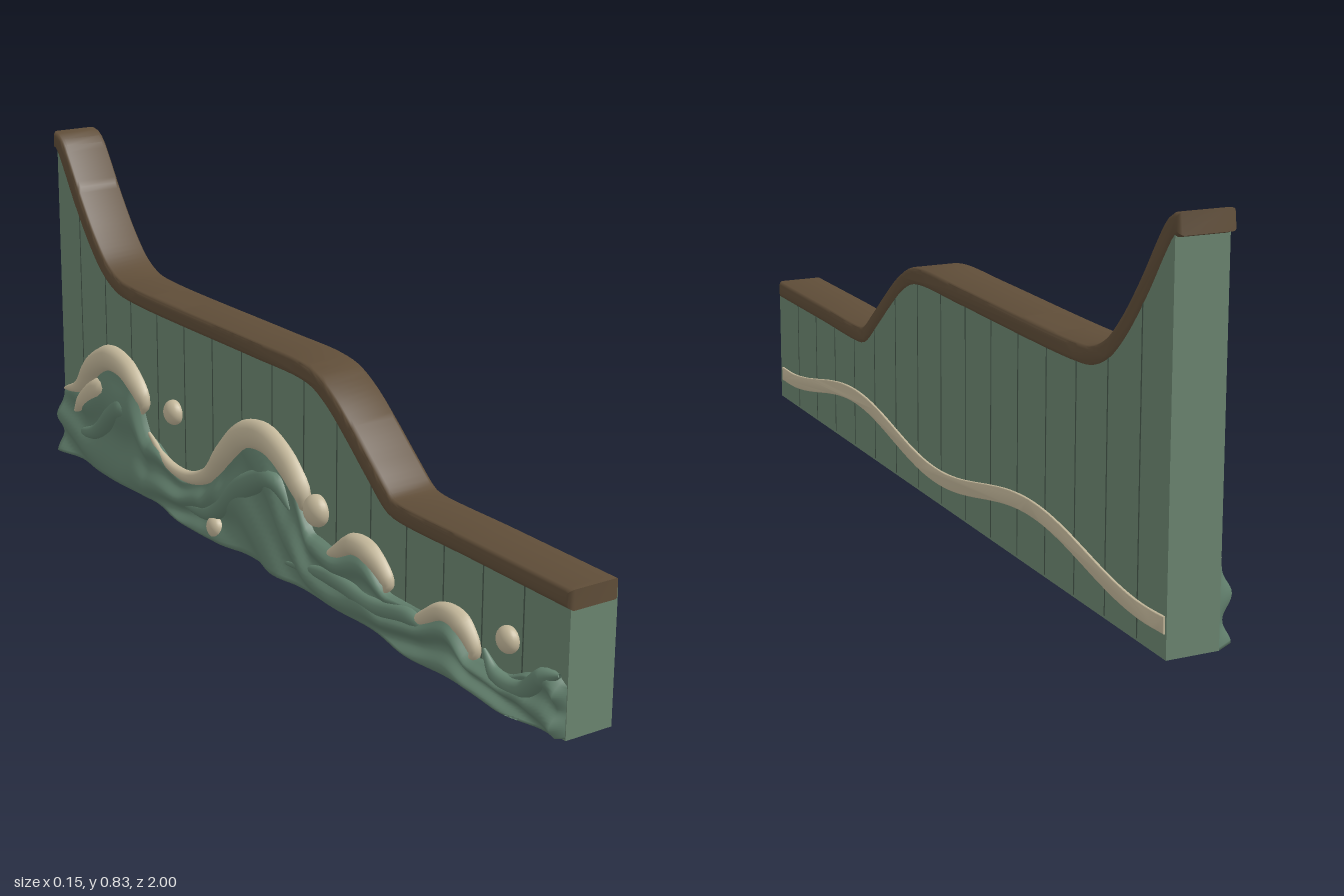
import * as THREE from 'three';
import { toCreasedNormals } from 'three/addons/utils/BufferGeometryUtils.js';

const mat = (name, color, side = THREE.FrontSide) => {
  const m = new THREE.MeshStandardMaterial({ color, side });
  m.name = name;
  return m;
};

// Outlines are drawn in (u, y) with u = -z, then extruded across x.
const curve = (pts) => new THREE.CatmullRomCurve3(pts.map(([u, y]) => new THREE.Vector3(u, y, 0)), false, 'centripetal');

function extrudeAcross(pts, x0, x1, bevel = 0) {
  const g = new THREE.ExtrudeGeometry(new THREE.Shape(pts), {
    depth: x1 - x0 - 2 * bevel, bevelEnabled: bevel > 0, bevelSize: bevel,
    bevelThickness: bevel, bevelOffset: -bevel, bevelSegments: 4,
  });
  g.translate(0, 0, x0 + bevel);
  g.rotateY(Math.PI / 2);
  return toCreasedNormals(g, 0.6);
}

// Strip of constant thickness following a curve
function band(c, half, n) {
  const lower = [], upper = [];
  for (let i = 0; i <= n; i++) {
    const p = c.getPointAt(i / n), t = c.getTangentAt(i / n);
    lower.push(new THREE.Vector2(p.x + t.y * half, p.y - t.x * half));
    upper.unshift(new THREE.Vector2(p.x - t.y * half, p.y + t.x * half));
  }
  return lower.concat(upper);
}

// Linear lookup in a list of [key, value]
function lookup(list, k) {
  for (let i = 1; i < list.length; i++) {
    const [a, va] = list[i - 1], [b, vb] = list[i];
    if (k <= b) return va + (vb - va) * THREE.MathUtils.smoothstep(k, a, b);
  }
  return list[list.length - 1][1];
}

// Tapered, flattened roll through points [z, y, radius] on the -x face
function foamRoll(pts, x) {
  const c = new THREE.CatmullRomCurve3(pts.map(([z, y]) => new THREE.Vector3(x, y, z)));
  const n = 48, sides = 12;
  const g = new THREE.TubeGeometry(c, n, 1, sides);
  const pos = g.attributes.position;
  for (let i = 0; i <= n; i++) {
    const p = c.getPointAt(i / n);
    const k = c.getUtoTmapping(i / n) * (pts.length - 1);
    const a = Math.min(Math.floor(k), pts.length - 2);
    const r = THREE.MathUtils.lerp(pts[a][2], pts[a + 1][2], k - a);
    for (let j = 0; j <= sides; j++) {
      const q = i * (sides + 1) + j;
      pos.setXYZ(q, p.x + (pos.getX(q) - p.x) * Math.min(r, 0.026),
        p.y + (pos.getY(q) - p.y) * r, p.z + (pos.getZ(q) - p.z) * r);
    }
  }
  g.computeVertexNormals();
  return g;
}

export function createModel() {
  const group = new THREE.Group();
  const green = mat('sage green', 0x6b8570);
  const seaGreen = mat('sea green', 0x64826f, THREE.DoubleSide);
  const brown = mat('wood brown', 0x5f4d38);
  const cream = mat('cream', 0xc4b89b);
  const dark = mat('groove green', 0x46584b);
  const add = (name, geometry, material) => {
    const m = new THREE.Mesh(geometry, material);
    m.name = name;
    group.add(m);
    return m;
  };

  // Stepped top line, from the low front to the tall back
  const railLine = curve([[-1, 0.283], [-0.7, 0.283], [-0.46, 0.283], [-0.43, 0.29], [-0.36, 0.343], [-0.29, 0.4],
    [-0.22, 0.452], [-0.16, 0.482], [-0.1, 0.492], [0.1, 0.492], [0.62, 0.492], [0.69, 0.5], [0.75, 0.528],
    [0.81, 0.583], [0.88, 0.67], [0.94, 0.757], [0.968, 0.793], [0.985, 0.804], [1, 0.806]]);
  const line = railLine.getSpacedPoints(120);

  // Wall panel
  const outline = [new THREE.Vector2(-0.997, 0), new THREE.Vector2(0.985, 0)];
  for (let i = 120; i >= 0; i--) {
    const p = line[i];
    if (p.x < 0.985 && p.x > -0.997) outline.push(new THREE.Vector2(p.x, p.y));
  }
  outline.splice(2, 0, new THREE.Vector2(0.985, 0.8));
  outline.push(new THREE.Vector2(-0.997, 0.283));
  add('wallPanel', extrudeAcross(outline, -0.04, 0.072), green);

  // Top rail
  add('topRail', extrudeAcross(band(railLine, 0.021, 140), -0.046, 0.075, 0.012), brown);

  // Plank grooves on both faces
  for (let i = 0; i < 15; i++) {
    const z = 0.865 - i * 0.1245;
    const top = line.reduce((b, p) => (Math.abs(p.x + z) < Math.abs(b.x + z) ? p : b)).y - 0.01;
    for (const x of [-0.04, 0.072]) {
      add('plankGroove', new THREE.BoxGeometry(0.001, top - 0.01, 0.004), dark).position.set(x, top / 2, z);
    }
  }

  // Wavy trim on the +x face
  const trim = [];
  for (let i = 0; i <= 24; i++) {
    const u = -0.98 + i * 1.96 / 24;
    trim.push([u, 0.095 - 0.032 * Math.cos((u + 0.02) * Math.PI * 2 / 0.93)]);
  }
  add('waveTrim', extrudeAcross(band(curve(trim), 0.017, 90), 0.068, 0.077, 0.003), cream);

  // Carved sea on the -x face: a rippled sheet below the wave line
  const seaTop = [[-0.99, 0.17], [-0.86, 0.2], [-0.72, 0.31], [-0.62, 0.29], [-0.53, 0.16], [-0.38, 0.1],
    [-0.28, 0.13], [-0.2, 0.2], [-0.1, 0.3], [0, 0.31], [0.09, 0.23], [0.17, 0.14], [0.25, 0.13], [0.35, 0.16],
    [0.45, 0.1], [0.55, 0.1], [0.65, 0.13], [0.73, 0.07], [0.82, 0.07], [0.9, 0.1], [0.96, 0.13], [1, 0.11]];
  const nz = 180, ny = 28;
  const sea = new THREE.PlaneGeometry(1, 1, nz, ny);
  const pos = sea.attributes.position;
  for (let i = 0; i < pos.count; i++) {
    const z = -0.985 + (pos.getX(i) + 0.5) * 1.98;
    const v = pos.getY(i) + 0.5;
    const col = i % (nz + 1), edge = col === 0 || col === nz || v < 0.001;
    const ripple = Math.sin(v * 11 + 4 * Math.sin(z * 6.5) + z * 5);
    const d = edge ? 0 : (0.022 + 0.01 * ripple) * Math.sqrt(Math.max(0, 1 - v ** 6));
    pos.setXYZ(i, -0.04 - d, v * lookup(seaTop, z), z);
  }
  sea.computeVertexNormals();
  add('carvedSea', sea, seaGreen);

  // Foam crests, each hooking over toward the front
  const crests = [
    [[-0.97, 0.17, 0.004], [-0.88, 0.2, 0.02], [-0.81, 0.27, 0.028], [-0.72, 0.312, 0.033], [-0.63, 0.3, 0.03],
      [-0.56, 0.245, 0.02], [-0.57, 0.21, 0.004]],
    [[-0.92, 0.12, 0.004], [-0.86, 0.165, 0.025], [-0.79, 0.21, 0.032], [-0.73, 0.22, 0.02], [-0.71, 0.19, 0.004]],
    [[-0.54, 0.17, 0.004], [-0.45, 0.12, 0.012], [-0.35, 0.115, 0.015], [-0.26, 0.15, 0.02], [-0.19, 0.22, 0.028],
      [-0.11, 0.285, 0.035], [-0.02, 0.305, 0.035], [0.07, 0.27, 0.032], [0.13, 0.215, 0.022], [0.12, 0.18, 0.004]],
    [[0.2, 0.1, 0.004], [0.26, 0.135, 0.016], [0.32, 0.17, 0.024], [0.38, 0.168, 0.026], [0.44, 0.125, 0.016],
      [0.43, 0.1, 0.004]],
    [[0.5, 0.05, 0.004], [0.56, 0.09, 0.016], [0.63, 0.13, 0.02], [0.69, 0.125, 0.024], [0.73, 0.08, 0.014],
      [0.71, 0.06, 0.004]],
  ];
  for (const pts of crests) add('foamCrest', foamRoll(pts, -0.047), cream);

  // Green swells rolling under the foam
  const swells = [
    [[-0.97, 0.07, 0.004], [-0.8, 0.1, 0.02], [-0.66, 0.2, 0.03], [-0.58, 0.18, 0.004]],
    [[-0.45, 0.05, 0.004], [-0.25, 0.06, 0.02], [-0.1, 0.17, 0.03], [0.02, 0.22, 0.025], [0.08, 0.17, 0.004]],
    [[0.05, 0.04, 0.004], [0.25, 0.07, 0.02], [0.4, 0.06, 0.02], [0.53, 0.08, 0.018], [0.6, 0.06, 0.004]],
    [[0.76, 0.1, 0.004], [0.8, 0.06, 0.016], [0.88, 0.06, 0.02], [0.94, 0.11, 0.02], [0.985, 0.13, 0.004]],
  ];
  for (const pts of swells) add('seaSwell', foamRoll(pts, -0.05), seaGreen);

  // Spray drops
  for (const [z, y, r] of [[-0.42, 0.255, 0.03], [0.18, 0.2, 0.036], [0.83, 0.145, 0.028], [-0.22, 0.035, 0.026]]) {
    const drop = add('sprayDrop', new THREE.SphereGeometry(r, 20, 14), cream);
    drop.scale.x = 0.75;
    drop.position.set(y < 0.1 ? -0.058 : -0.048, y, z);
  }
  return group;
}
